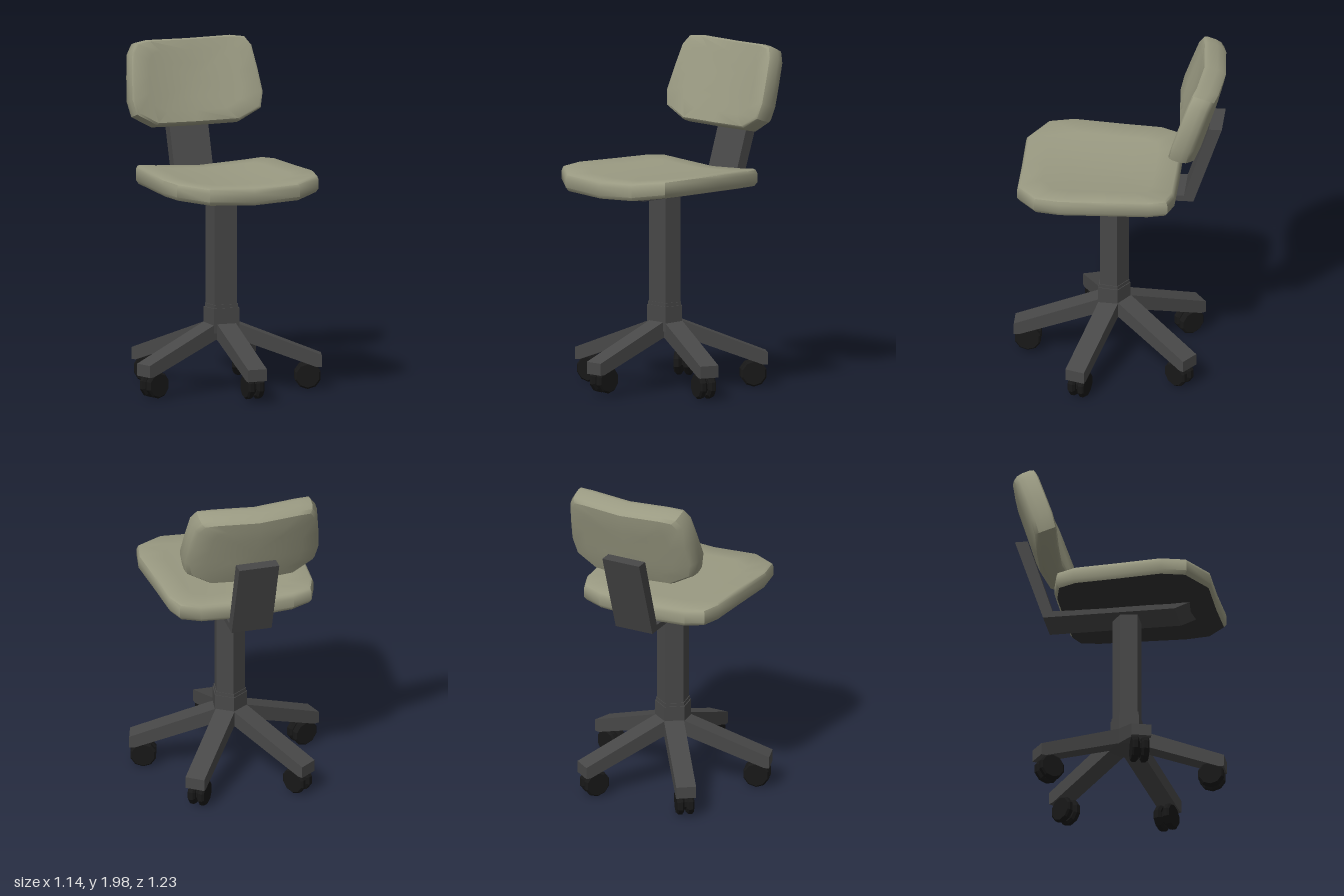
import * as THREE from 'three';
import { toCreasedNormals } from 'three/addons/utils/BufferGeometryUtils.js';

const material = (color, flat) =>
  new THREE.MeshStandardMaterial({ color, flatShading: flat });

const fabric = material(0x9a9a82, false);
const underside = material(0x333333, false);
const frame = material(0x484848, true);
const rubber = material(0x181818, true);

function add(parent, name, geometry, mat) {
  const mesh = new THREE.Mesh(geometry, mat);
  mesh.name = name;
  parent.add(mesh);
  return mesh;
}

// Full outline from its +x half, running from +z to -z
function mirrorOutline(half) {
  const other = half.filter(([x]) => x > 0).map(([x, z]) => [-x, z]).reverse();
  return [...half, ...other];
}

// Shell through scaled copies of the outline; rings are [scale, height], bent up at the sides
function cushionShell(outline, centre, rings, bend) {
  const n = outline.length;
  const positions = [];
  const point = ([s, h], j) => {
    const x = outline[j % n][0] * s;
    const z = centre + (outline[j % n][1] - centre) * s;
    return [x, h + bend(x), z];
  };
  for (let i = 0; i < rings.length - 1; i++) {
    const lo = rings[i], hi = rings[i + 1];
    for (let j = 0; j < n; j++) {
      const a = point(lo, j), b = point(lo, j + 1), c = point(hi, j), d = point(hi, j + 1);
      if (lo[0] > 0) positions.push(...a, ...b, ...c);
      if (hi[0] > 0) positions.push(...b, ...d, ...c);
    }
  }
  const geometry = new THREE.BufferGeometry();
  geometry.setAttribute('position', new THREE.Float32BufferAttribute(positions, 3));
  return toCreasedNormals(geometry, 0.7);
}

// Side profile extruded to a width, centred on its own z
function slab(points, width) {
  const shape = new THREE.Shape(points.map(([x, y]) => new THREE.Vector2(x, y)));
  return new THREE.ExtrudeGeometry(shape, { depth: width, bevelEnabled: false })
    .translate(0, 0, -width / 2);
}

// Upright five-sided prism
function prism(scale, bottom, top) {
  const corners = [[0.07, -0.077], [0.086, 0.024], [0, 0.083], [-0.086, 0.024], [-0.07, -0.077]];
  const shape = new THREE.Shape(corners.map(([x, y]) => new THREE.Vector2(x * scale, y * scale)));
  return new THREE.ExtrudeGeometry(shape, { depth: top - bottom, bevelEnabled: false })
    .rotateX(-Math.PI / 2)
    .translate(0, bottom, 0);
}

function makeSeat() {
  const seat = new THREE.Group();
  seat.name = 'seat';
  const outline = mirrorOutline([
    [0, 0.58], [0.28, 0.58], [0.44, 0.465], [0.47, 0.32], [0.45, 0.05],
    [0.435, -0.2], [0.395, -0.305], [0.28, -0.335], [0, -0.335],
  ]);
  const bend = (x) => 0.04 * (x / 0.45) ** 2;
  const top = [[0.97, 1.155], [1, 1.175], [1, 1.225], [0.985, 1.247], [0.96, 1.256],
    [0.7, 1.26], [0.4, 1.26], [0, 1.26]];
  const bottom = [[0, 1.155], [0.4, 1.155], [0.7, 1.155], [0.97, 1.155]];
  add(seat, 'seatCushion', cushionShell(outline, 0.125, top, bend), fabric);
  add(seat, 'seatUnderside', cushionShell(outline, 0.125, bottom, bend), underside);
  return seat;
}

function makeBackrest() {
  const outline = mirrorOutline([
    [0, 0.255], [0.26, 0.255], [0.39, 0.19], [0.41, 0.1], [0.395, -0.04],
    [0.375, -0.18], [0.34, -0.235], [0.26, -0.25], [0, -0.25],
  ]);
  const rings = [[0, -0.07], [0.4, -0.07], [0.7, -0.07], [0.93, -0.065], [0.98, -0.045],
    [1, -0.01], [1, 0.035], [0.985, 0.057], [0.95, 0.067], [0.7, 0.07], [0.4, 0.07], [0, 0.07]];
  const bend = (x) => 0.05 * (x / 0.37) ** 2;
  const back = new THREE.Mesh(cushionShell(outline, 0, rings, bend), fabric);
  back.name = 'backrest';
  back.rotation.x = Math.PI / 2 - 0.305;
  back.position.set(0, 1.72, -0.475);
  return back;
}

// Twin-wheel caster, axle along local z
function makeCaster() {
  const caster = new THREE.Group();
  caster.name = 'caster';
  const profile = [[0, -0.022], [0.062, -0.022], [0.078, -0.01], [0.078, 0.012], [0.068, 0.022], [0, 0.022]]
    .map(([r, y]) => new THREE.Vector2(r, y));
  for (const side of [-1, 1]) {
    const wheel = add(caster, 'wheel', new THREE.LatheGeometry(profile, 10).rotateX(Math.PI / 2), rubber);
    wheel.position.z = side * 0.028;
    if (side < 0) wheel.rotation.y = Math.PI;
  }
  add(caster, 'axle', new THREE.CylinderGeometry(0.05, 0.05, 0.03, 10).rotateX(Math.PI / 2), rubber);
  return caster;
}

function makeBase() {
  const base = new THREE.Group();
  base.name = 'base';
  base.position.z = 0.04;
  add(base, 'column', prism(1, 0.4, 1.135), frame);
  add(base, 'columnSocket', prism(1.13, 0.34, 0.485), frame);
  add(base, 'socketCollar', prism(1.06, 0.485, 0.505), frame);

  // Five sloping legs, each with a caster near its tip
  const legProfile = [[0, 0.31], [0.09, 0.3], [0.55, 0.13], [0.58, 0.13], [0.58, 0.2], [0.07, 0.4], [0, 0.4]];
  for (let i = 0; i < 5; i++) {
    const leg = new THREE.Group();
    leg.name = 'legWithCaster';
    leg.rotation.y = (i * 2 * Math.PI) / 5 - Math.PI / 2;
    add(leg, 'leg', slab(legProfile, 0.116), frame);
    const caster = makeCaster();
    caster.position.set(0.5, i === 0 ? 0.095 : 0.077, 0);
    leg.add(caster);
    base.add(leg);
  }
  return base;
}

export function createModel() {
  const chair = new THREE.Group();
  chair.name = 'swivelChair';
  chair.add(makeSeat(), makeBackrest(), makeBase());

  // Bent bracket from under the seat up to the backrest
  const bracketProfile = [[0.43, 1.16], [0.34, 1.127], [-0.43, 1.127], [-0.595, 1.62],
    [-0.52, 1.62], [-0.375, 1.163]];
  const bracket = add(chair, 'backBracket', slab(bracketProfile, 0.24), frame);
  bracket.rotation.y = -Math.PI / 2;
  return chair;
}
